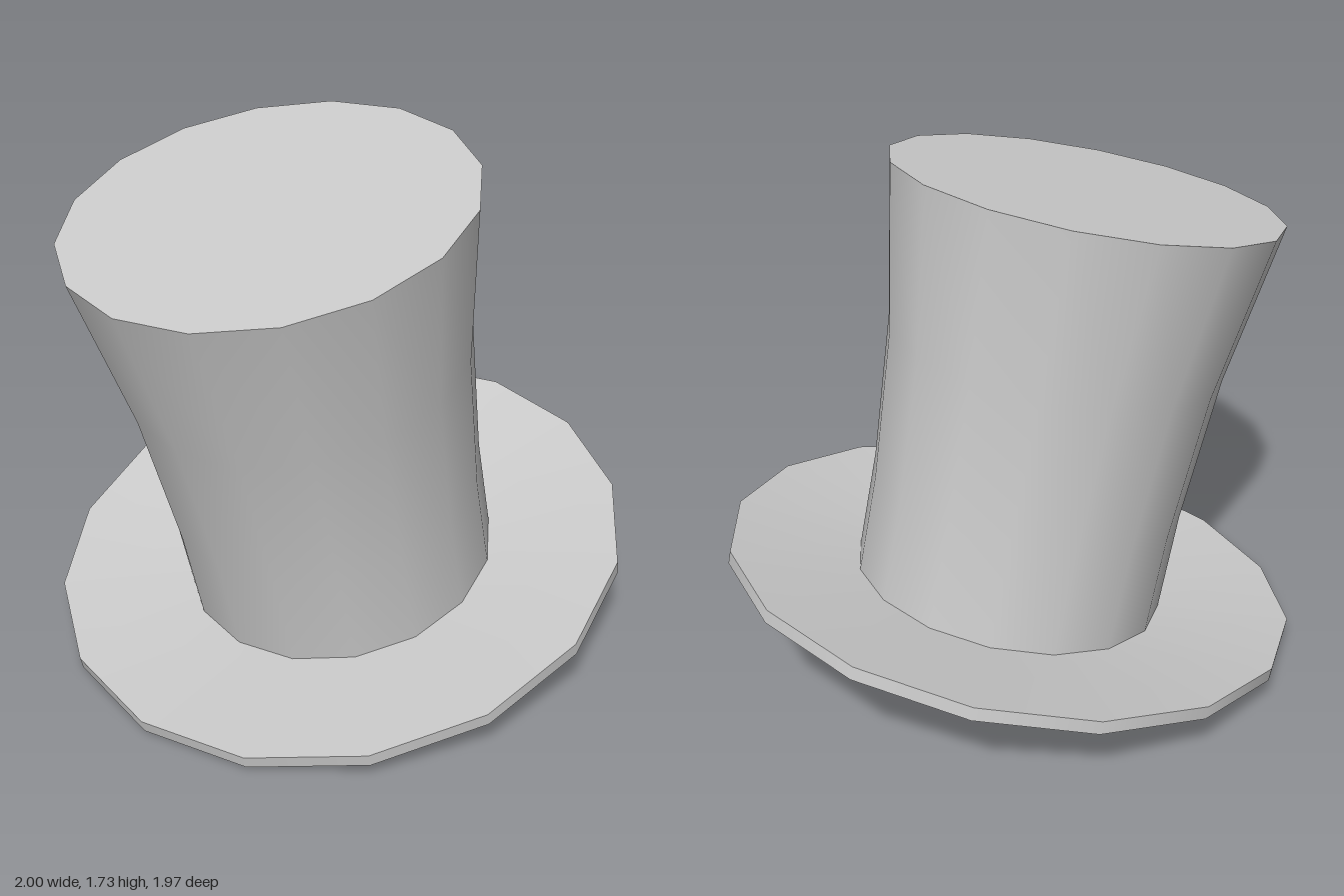
import * as THREE from 'three';

const SIDES = 16;

// Revolve a short [radius, height] profile, listed from the underside up and over
function turned(name, profile) {
  const points = profile.map(([r, y]) => new THREE.Vector2(r, y));
  const mesh = new THREE.Mesh(
    new THREE.LatheGeometry(points, SIDES),
    new THREE.MeshStandardMaterial({ color: 0xcccccc })
  );
  mesh.name = name;
  return mesh;
}

export function createModel() {
  const hat = new THREE.Group();
  hat.name = 'topHat';

  // Dished brim: separate surfaces keep the rim edges sharp
  const brim = new THREE.Group();
  brim.name = 'brim';
  brim.add(
    turned('brimUnderside', [[0, -0.11], [0.46, -0.11], [1, -0.045]]),
    turned('brimRim', [[1, -0.045], [1, 0]]),
    turned('brimTop', [[1, 0], [0.545, -0.055]])
  );

  // Flared crown with a flat lid
  const crown = new THREE.Group();
  crown.name = 'crown';
  crown.add(
    turned('crownWall', [[0.545, -0.055], [0.544, 0.297], [0.575, 0.82], [0.659, 1.378]]),
    turned('crownLid', [[0.659, 1.378], [0, 1.378]])
  );

  // The hat leans forward and slightly to its right
  const lean = new THREE.Group();
  lean.name = 'leaningHat';
  lean.add(brim, crown);
  lean.rotation.set(0.206, 0.02, 0.024);
  lean.position.y = 0.249;
  hat.add(lean);
  return hat;
}
